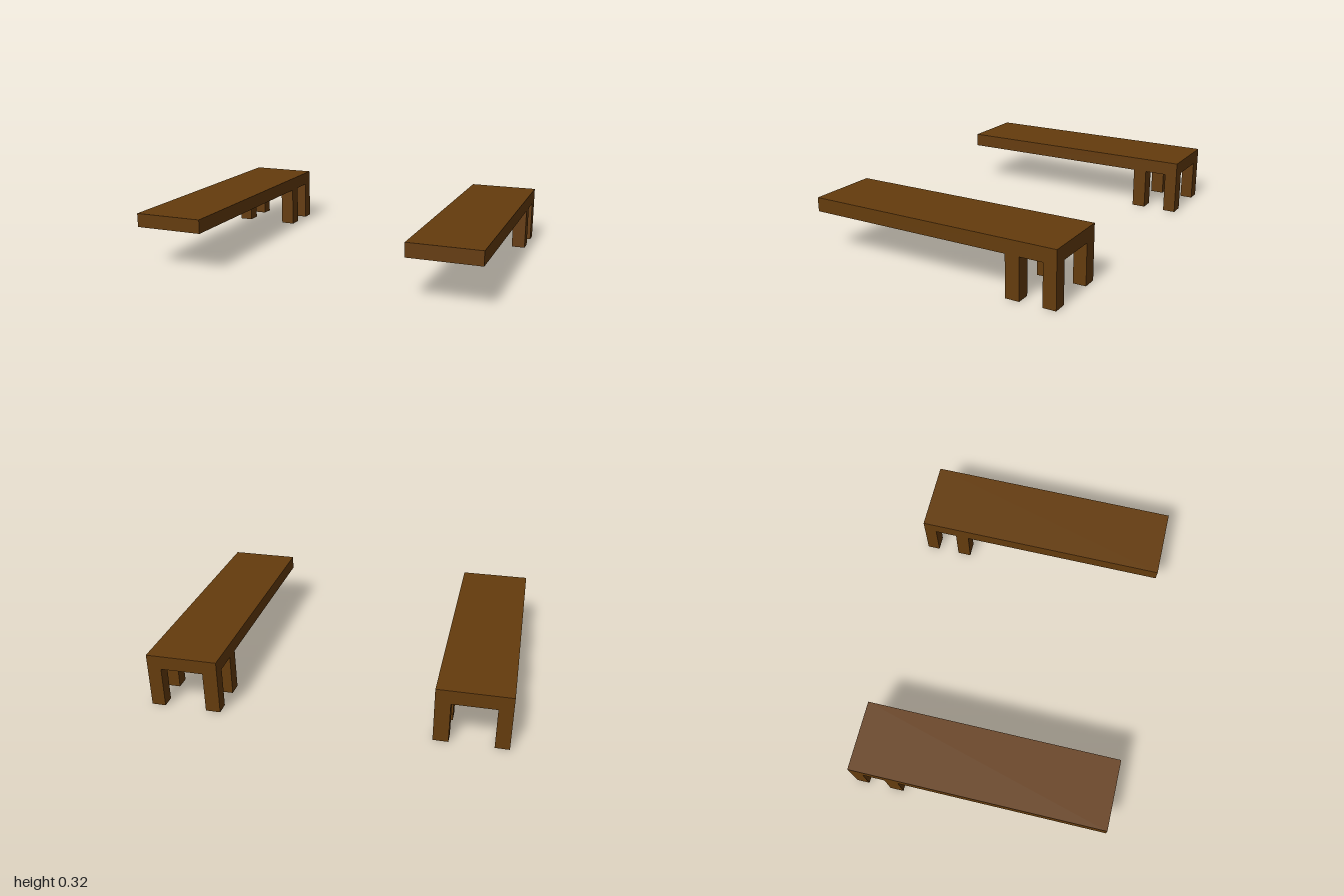
import * as THREE from 'three';

const wood = new THREE.MeshStandardMaterial({ color: 0x653c0d });
wood.name = 'brown wood';

// Box given by its minimum and maximum on each axis
function block(name, [x0, x1], [y0, y1], [z0, z1]) {
  const mesh = new THREE.Mesh(new THREE.BoxGeometry(x1 - x0, y1 - y0, z1 - z0), wood);
  mesh.position.set((x0 + x1) / 2, (y0 + y1) / 2, (z0 + z1) / 2);
  mesh.name = name;
  return mesh;
}

// One side: a long plank carried by four legs near the back
function createBench(side) {
  const bench = new THREE.Group();
  bench.name = side > 0 ? 'leftBench' : 'rightBench';
  const span = (a, b) => (side > 0 ? [a, b] : [-b, -a]);

  bench.add(block('plank', span(0.595, 1), [0.237, 0.317], [-0.742, 0.742]));

  const legX = { inner: span(0.595, 0.679), outer: span(0.921, 1) };
  const legZ = { Back: [-0.742, -0.668], Front: [-0.538, -0.458] };
  for (const [xName, x] of Object.entries(legX)) {
    for (const [zName, z] of Object.entries(legZ)) {
      bench.add(block(`${xName}${zName}Leg`, x, [0, 0.237], z));
    }
  }
  return bench;
}

export function createModel() {
  const model = new THREE.Group();
  model.name = 'benchPair';
  for (const side of [1, -1]) model.add(createBench(side));
  return model;
}
